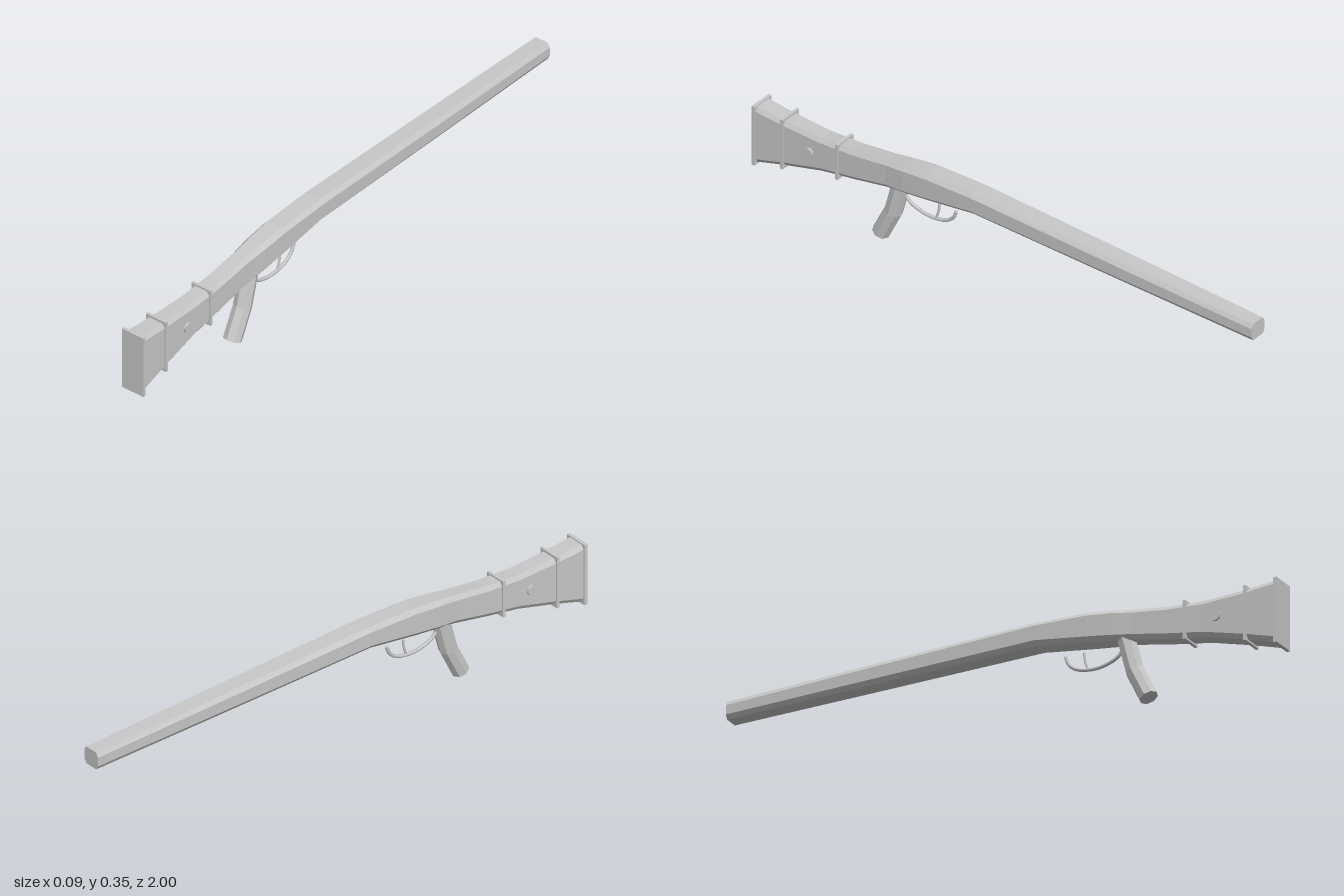
import * as THREE from 'three';

const grey = new THREE.MeshStandardMaterial({ color: 0xc8c8c8 });

// Skins rings of points (counter-clockwise seen from the start) and caps both ends, with flat faces
function loft(rings) {
  const n = rings[0].length, last = rings.length - 1, pos = [];
  const tri = (...pts) => pts.forEach((p) => pos.push(p[0], p[1], p[2]));
  for (let i = 0; i < last; i++) {
    for (let j = 0; j < n; j++) {
      const k = (j + 1) % n;
      const a = rings[i][j], b = rings[i][k], c = rings[i + 1][k], d = rings[i + 1][j];
      tri(a, d, c);
      tri(a, c, b);
    }
  }
  for (let j = 1; j < n - 1; j++) {
    tri(rings[0][0], rings[0][j], rings[0][j + 1]);
    tri(rings[last][0], rings[last][j + 1], rings[last][j]);
  }
  const g = new THREE.BufferGeometry();
  g.setAttribute('position', new THREE.Float32BufferAttribute(pos, 3));
  g.computeVertexNormals();
  return g;
}

// Chamfered rectangle across the body at z
function bodyRing([z, bottom, top, w, flat]) {
  const c = 0.015;
  return [
    [w, bottom + c, z], [w, top - c, z], [flat, top, z], [-flat, top, z],
    [-w, top - c, z], [-w, bottom + c, z], [-flat, bottom, z], [flat, bottom, z],
  ];
}

// Octagonal ring square to direction (dy, dz)
function gripRing([y, z, dy, dz]) {
  const r = 0.031, len = Math.hypot(dy, dz);
  return Array.from({ length: 8 }, (_, i) => {
    const a = (i * Math.PI) / 4, v = (r * Math.sin(a)) / len;
    return [r * Math.cos(a), y - dz * v, z + dy * v];
  });
}

export function createModel() {
  const model = new THREE.Group();
  const add = (name, geometry, x = 0, y = 0, z = 0) => {
    const mesh = new THREE.Mesh(geometry, grey);
    mesh.name = name;
    mesh.position.set(x, y, z);
    model.add(mesh);
    return mesh;
  };

  // Long body: z, bottom, top, half width, half width of the flat top
  add('body', loft([
    [0.995, 0.085, 0.3, 0.038, 0.028],
    [0.88, 0.122, 0.293, 0.036, 0.026],
    [0.73, 0.165, 0.291, 0.034, 0.024],
    [0.6, 0.19, 0.302, 0.034, 0.023],
    [0.47, 0.218, 0.322, 0.034, 0.022],
    [0.4, 0.229, 0.334, 0.04, 0.025],
    [0.31, 0.244, 0.346, 0.042, 0.029],
    [0.12, 0.275, 0.355, 0.042, 0.029],
    [-0.5, 0.28, 0.35, 0.038, 0.027],
    [-1, 0.284, 0.346, 0.033, 0.024],
  ].map(bodyRing)));

  // End plate and two thin bands: z, bottom, top, half width, thickness
  [
    ['endPlate', 0.994, 0.08, 0.304, 0.043, 0.012],
    ['rearBand', 0.882, 0.113, 0.302, 0.041, 0.01],
    ['frontBand', 0.662, 0.17, 0.303, 0.039, 0.01],
  ].forEach(([name, z, bottom, top, w, depth]) => {
    add(name, new THREE.BoxGeometry(2 * w, top - bottom, depth), 0, (top + bottom) / 2, z);
  });

  // Round stud through both sides
  const stud = add('sideStud', new THREE.CylinderGeometry(0.017, 0.017, 0.084, 16), 0, 0.223, 0.775);
  stud.rotation.z = Math.PI / 2;

  // Bent octagonal grip, from the top down
  add('grip', loft([
    [0.245, 0.43, -1, 0.2],
    [0.12, 0.463, -1, 0.33],
    [0.017, 0.513, -0.91, 0.42],
  ].map(gripRing)));

  // Curved guard and lever below the body
  const path = (pts) => new THREE.CatmullRomCurve3(pts.map(([z, y]) => new THREE.Vector3(0, y, z)));
  const guard = path([[0.43, 0.222], [0.4, 0.184], [0.35, 0.165], [0.3, 0.163], [0.25, 0.176], [0.222, 0.2], [0.213, 0.224]]);
  add('guard', new THREE.TubeGeometry(guard, 24, 0.006, 8));
  const lever = path([[0.279, 0.224], [0.283, 0.195], [0.293, 0.165]]);
  add('lever', new THREE.TubeGeometry(lever, 8, 0.004, 8));
  const tip = (name, y, z, r) => add(name, new THREE.SphereGeometry(r, 8, 6), 0, y, z);
  tip('guardTip', 0.224, 0.213, 0.006);
  tip('leverTip', 0.224, 0.279, 0.004);

  return model;
}
